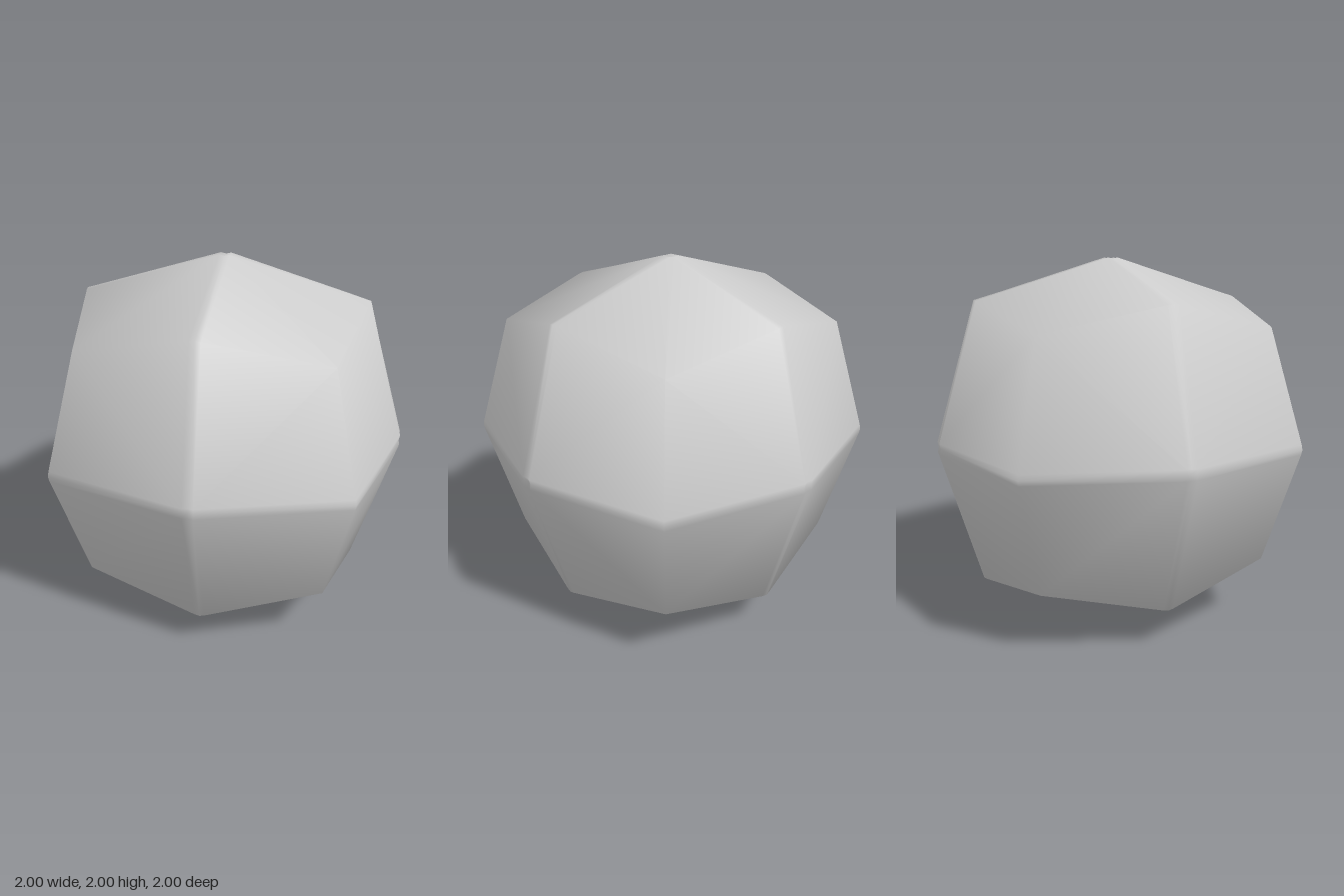
import * as THREE from 'three';
import { mergeVertices } from 'three/addons/utils/BufferGeometryUtils.js';

// Ball of 24 kite panels: three per octant, softly beveled where octants meet.
const BEVEL = 0.028;

// Point from its components along three axes, given as axis indices.
function point(a, b, c, va, vb, vc) {
  const p = [0, 0, 0];
  p[a] = va;
  p[b] = vb;
  p[c] = vc;
  return p;
}

// Quads of the all-positive octant, corner order counter-clockwise from outside.
function octantQuads() {
  const quads = [];
  const centre = [0.643, 0.643, 0.643];
  for (let a = 0; a < 3; a++) {
    const b = (a + 1) % 3, c = (a + 2) % 3;
    const pole = point(a, b, c, 0.984, 0, 0);
    const tip = point(a, b, c, 1, BEVEL, BEVEL);
    const ridgeB = point(a, b, c, 0.994, BEVEL, 0);
    const ridgeC = point(a, b, c, 0.994, 0, BEVEL);
    const midB = point(a, b, c, 0.776, 0.776, BEVEL);
    const midC = point(a, b, c, 0.776, BEVEL, 0.776);
    const edgeB = point(a, b, c, 0.78, 0.78, 0);
    const edgeC = point(a, b, c, 0.78, 0, 0.78);
    quads.push(
      [tip, midB, centre, midC],      // kite panel
      [ridgeB, edgeB, midB, tip],     // bevel towards b
      [tip, midC, edgeC, ridgeC],     // bevel towards c
      [pole, ridgeB, tip, ridgeC],    // small dimple at the axis
    );
  }
  return quads;
}

export function createModel() {
  const positions = [];
  const quads = octantQuads();

  // Mirror the octant into all eight, reversing the winding on odd mirrors
  for (const sx of [1, -1]) for (const sy of [1, -1]) for (const sz of [1, -1]) {
    const order = sx * sy * sz > 0 ? [0, 1, 2, 0, 2, 3] : [0, 2, 1, 0, 3, 2];
    for (const quad of quads) {
      for (const i of order) {
        const [x, y, z] = quad[i];
        positions.push(x * sx, y * sy, z * sz);
      }
    }
  }

  // Weld the corners so that the shading runs smoothly over panels and bevels
  let geometry = new THREE.BufferGeometry();
  geometry.setAttribute('position', new THREE.Float32BufferAttribute(positions, 3));
  geometry = mergeVertices(geometry, 1e-4);
  geometry.computeVertexNormals();

  const ball = new THREE.Mesh(geometry, new THREE.MeshStandardMaterial({ color: 0xcccccc }));
  ball.name = 'panelledBall';
  ball.position.y = 1;

  const group = new THREE.Group();
  group.name = 'kitePanelBall';
  group.add(ball);
  return group;
}
